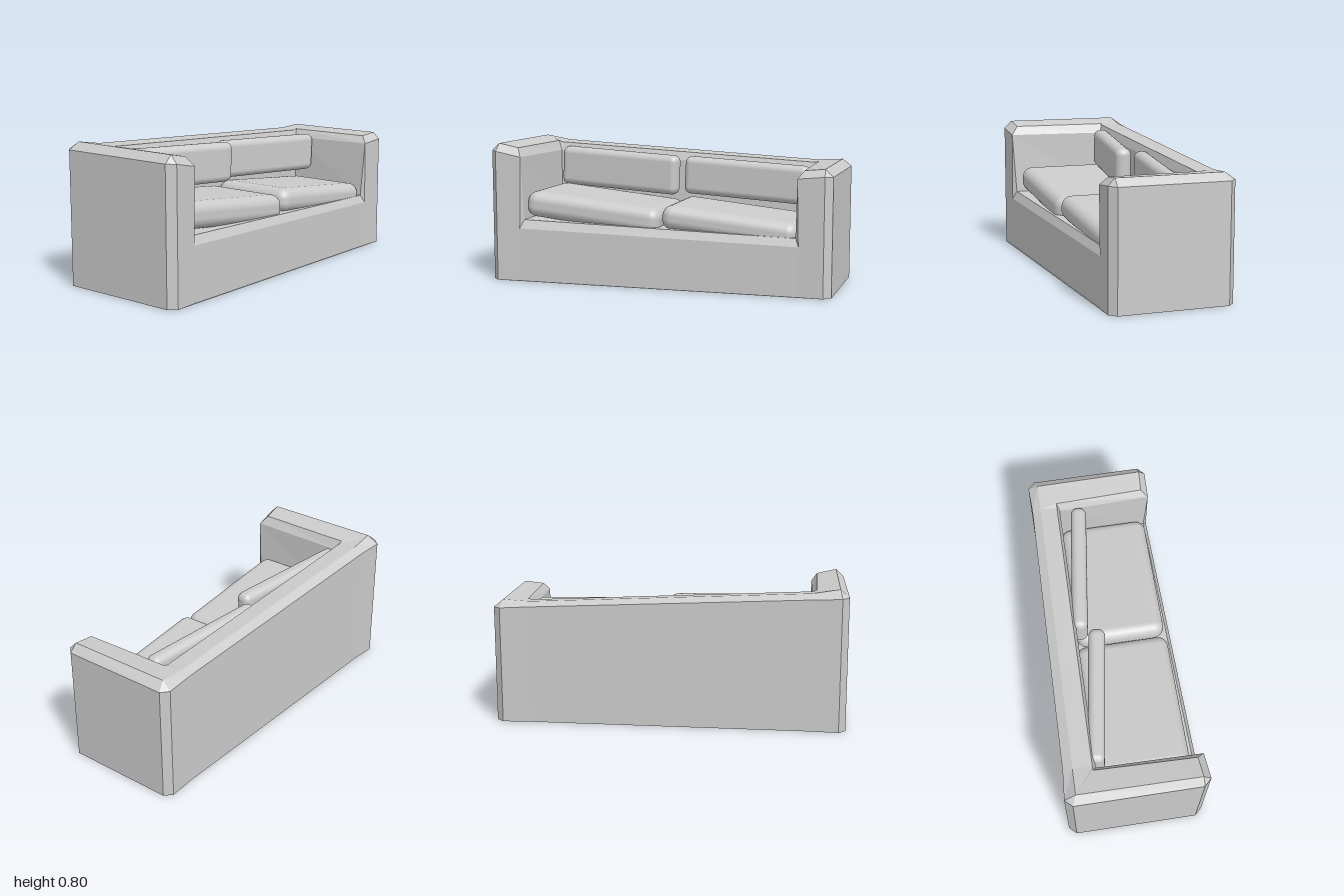
import * as THREE from 'three';
import { RoundedBoxGeometry } from 'three/addons/geometries/RoundedBoxGeometry.js';

// The sofa tapers along x: taller and deeper at the -x end.
const taper = ([x, y, z]) => {
  const s = 1 - x / 15;
  return [x, y * s, z * s];
};
const mirror = ([x, y, z]) => [-x, y, z];

// Flat shell from convex polygons given as corner loops
function shell(faces) {
  const pos = [];
  for (const f of faces) {
    const p = f.map(taper);
    for (let i = 1; i < p.length - 1; i++) pos.push(...p[0], ...p[i], ...p[i + 1]);
  }
  const g = new THREE.BufferGeometry();
  g.setAttribute('position', new THREE.Float32BufferAttribute(pos, 3));
  g.computeVertexNormals();
  return g;
}

// Stations around the U of arms and back; each runs
// ground, shoulder, top edge, inner top, inner wall top, inner wall foot
function station(ox, oz, top, inner, wall, foot) {
  return [[ox, 0, oz], [ox, 0.713, oz], top, inner, wall, foot];
}

function buildFrame() {
  const frontInner = [[-0.955, 0.755, 0.335], [-0.84, 0.737, 0.327], [-0.81, 0.69, 0.367], [-0.8, 0.342, 0.345]];
  const cornerInner = [[-0.95, 0.755, -0.315], [-0.825, 0.737, -0.212], [-0.8, 0.685, -0.195], [-0.8, 0.342, -0.195]];
  const backInner = [[-0.8, 0.738, -0.315], [-0.8, 0.73, -0.212], [-0.79, 0.68, -0.195], [-0.79, 0.342, -0.195]];
  const left = [
    station(-0.96, 0.375, ...frontInner),
    station(-1, 0.335, ...frontInner),
    station(-1, -0.335, ...cornerInner),
    station(-0.96, -0.375, ...cornerInner),
    station(-0.8, -0.366, ...backInner),
  ];
  const all = [...left, ...left.map((s) => s.map(mirror)).reverse()];

  const faces = [];
  for (let i = 0; i < all.length - 1; i++) {
    for (let r = 0; r < 5; r++) {
      faces.push([all[i][r], all[i][r + 1], all[i + 1][r + 1], all[i + 1][r]]);
    }
  }

  // Arm fronts
  const [f0, f1, top, inner, wall, foot] = left[0];
  const g0 = [-0.82, 0, 0.367];
  const g1 = [-0.82, 0.295, 0.367];
  const armFront = [[f0, g0, g1, wall, f1], [g1, foot, wall], [f1, wall, inner, top]];
  for (const f of armFront) faces.push(f, f.map(mirror).reverse());

  // Front panel, its bevelled rim, the seat deck and the underside
  const deckBack = cornerInner[3];
  faces.push([g0, mirror(g0), mirror(g1), g1]);
  faces.push([g1, mirror(g1), mirror(foot), foot]);
  faces.push([foot, mirror(foot), mirror(deckBack), deckBack]);
  faces.push([...all.map((s) => s[0]), mirror(g0), g0]);
  return shell(faces);
}

export function createModel() {
  const group = new THREE.Group();
  const flat = new THREE.MeshStandardMaterial({ color: 0xcccccc, flatShading: true });
  const soft = new THREE.MeshStandardMaterial({ color: 0xcccccc });

  const frame = new THREE.Mesh(buildFrame(), flat);
  frame.name = 'sofaFrame';
  group.add(frame);

  function cushion(name, size, radius, position, rotation) {
    const m = new THREE.Mesh(new RoundedBoxGeometry(...size, 4, radius), soft);
    m.name = name;
    m.position.set(...position);
    m.rotation.set(...rotation);
    group.add(m);
  }

  // Seat cushions, sagging toward +x
  cushion('seatCushionRight', [0.82, 0.15, 0.545], 0.06, [-0.4, 0.41, 0.062], [0, 0, -0.1]);
  cushion('seatCushionLeft', [0.785, 0.14, 0.52], 0.06, [0.41, 0.366, 0.066], [0, 0, -0.1]);

  // Back cushions, swung out from the back at their +x ends
  cushion('backCushionRight', [0.79, 0.235, 0.095], 0.04, [-0.385, 0.615, -0.14], [0, -0.15, -0.04]);
  cushion('backCushionLeft', [0.78, 0.225, 0.09], 0.04, [0.41, 0.582, -0.125], [0, -0.13, -0.04]);

  return group;
}
